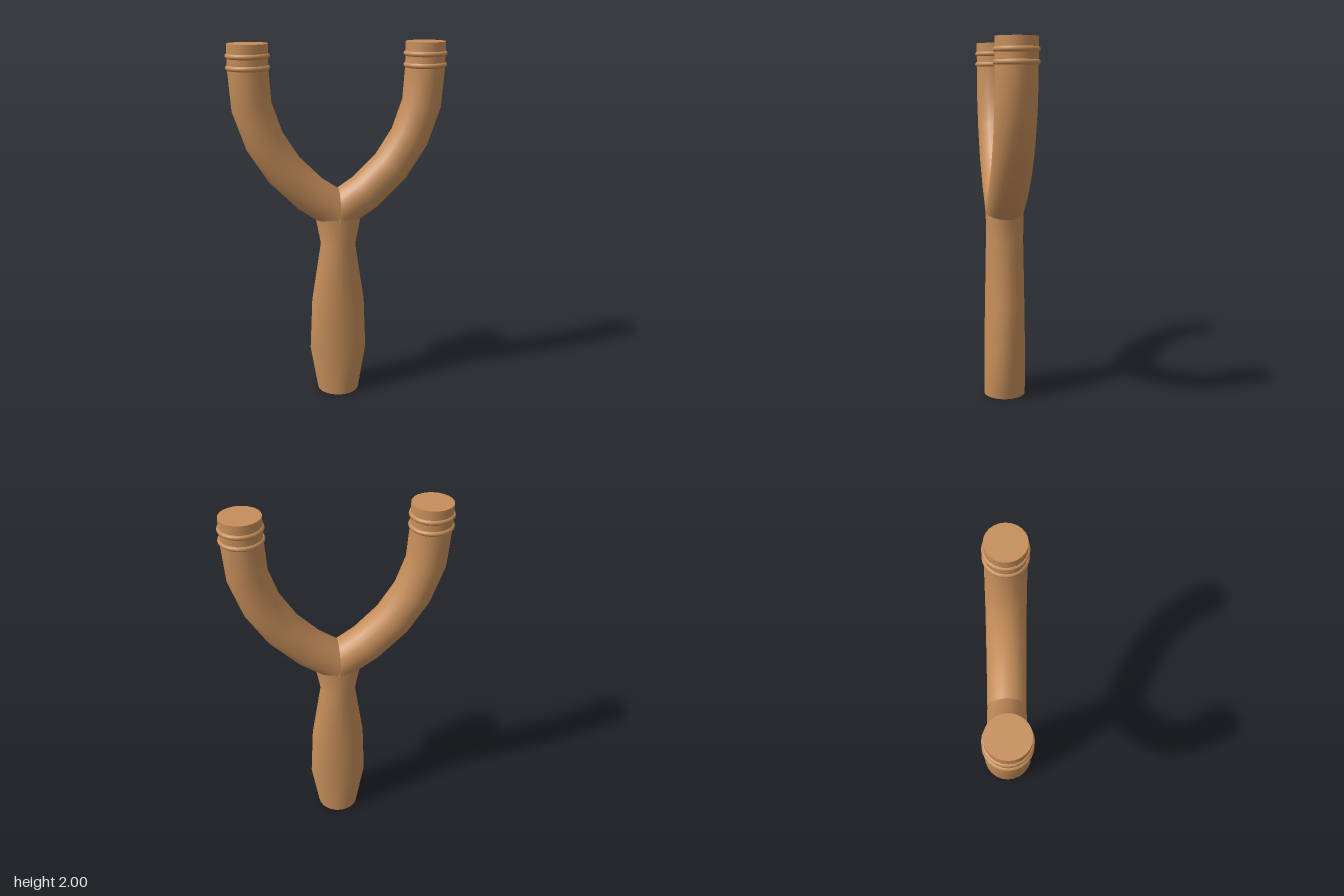
import * as THREE from 'three';

const SIDES = 24;

// Smooth skin through elliptical rings along a path in the xy plane, with flat end caps.
// Each ring is [x, y, radius in plane, radius in z].
function loft(rings) {
  const pos = [], idx = [];
  const mid = rings.map(([x, y]) => new THREE.Vector2(x, y));
  const loops = rings.map(([x, y, r, rz], i) => {
    const a = mid[Math.max(i - 1, 0)], b = mid[Math.min(i + 1, mid.length - 1)];
    const d0 = mid[i].clone().sub(a).normalize(), d1 = b.clone().sub(mid[i]).normalize();
    const t = d0.add(d1).normalize();
    const loop = [];
    for (let j = 0; j < SIDES; j++) {
      const q = (j / SIDES) * Math.PI * 2, c = Math.cos(q) * r;
      loop.push([x + t.y * c, y - t.x * c, Math.sin(q) * rz]);
    }
    return loop;
  });
  loops.forEach((loop) => loop.forEach((p) => pos.push(...p)));
  for (let i = 0; i < rings.length - 1; i++) {
    for (let j = 0; j < SIDES; j++) {
      const k = (j + 1) % SIDES, a = i * SIDES, b = a + SIDES;
      idx.push(a + j, b + j, a + k, a + k, b + j, b + k);
    }
  }
  // end caps on their own vertices, so that their edges stay sharp
  [0, rings.length - 1].forEach((i) => {
    const base = pos.length / 3;
    loops[i].forEach((p) => pos.push(...p));
    for (let j = 1; j < SIDES - 1; j++) {
      if (i === 0) idx.push(base, base + j, base + j + 1);
      else idx.push(base, base + j + 1, base + j);
    }
  });
  const g = new THREE.BufferGeometry();
  g.setAttribute('position', new THREE.Float32BufferAttribute(pos, 3));
  g.setIndex(idx);
  g.computeVertexNormals();
  return g;
}

export function createModel() {
  const model = new THREE.Group();
  model.name = 'forkedStick';
  const wood = new THREE.MeshStandardMaterial({ color: 0xc68e5a });
  wood.name = 'wood';
  const add = (parent, name, geometry) => {
    const m = new THREE.Mesh(geometry, wood);
    m.name = name;
    parent.add(m);
    return m;
  };

  // handle: round foot, wide grip, narrow neck
  add(model, 'handle', loft([
    [0, 0, 0.118, 0.118],
    [0, 0.26, 0.162, 0.117],
    [0, 0.55, 0.15, 0.112],
    [0, 0.89, 0.097, 0.106],
    [0, 1.06, 0.13, 0.105],
  ]));

  // arms: mirrored curved branches, each with two raised rings near the tip
  const path = [[0, 1.07], [0.06, 1.12], [0.157, 1.185], [0.298, 1.325],
    [0.4, 1.485], [0.464, 1.67], [0.478, 1.87], [0.478, 2]];
  for (const side of [1, -1]) {
    const arm = new THREE.Group();
    arm.name = side > 0 ? 'leftArm' : 'rightArm';
    add(arm, 'branch', loft(path.map(([x, y]) => [x * side, y, 0.108, 0.108])));
    for (const y of [1.937, 1.876]) {
      const ring = add(arm, 'ring', new THREE.TorusGeometry(0.104, 0.014, 10, SIDES));
      ring.rotation.x = Math.PI / 2;
      ring.position.set(0.478 * side, y, 0);
    }
    model.add(arm);
  }

  // small tapering ridge under the fork, front and back
  for (const z of [0.1, -0.1]) {
    const ridge = add(model, 'forkRidge', new THREE.ConeGeometry(0.011, 0.14, 8));
    ridge.rotation.x = Math.PI;
    ridge.scale.z = 0.8;
    ridge.position.set(0, 1.0, z);
  }
  return model;
}
